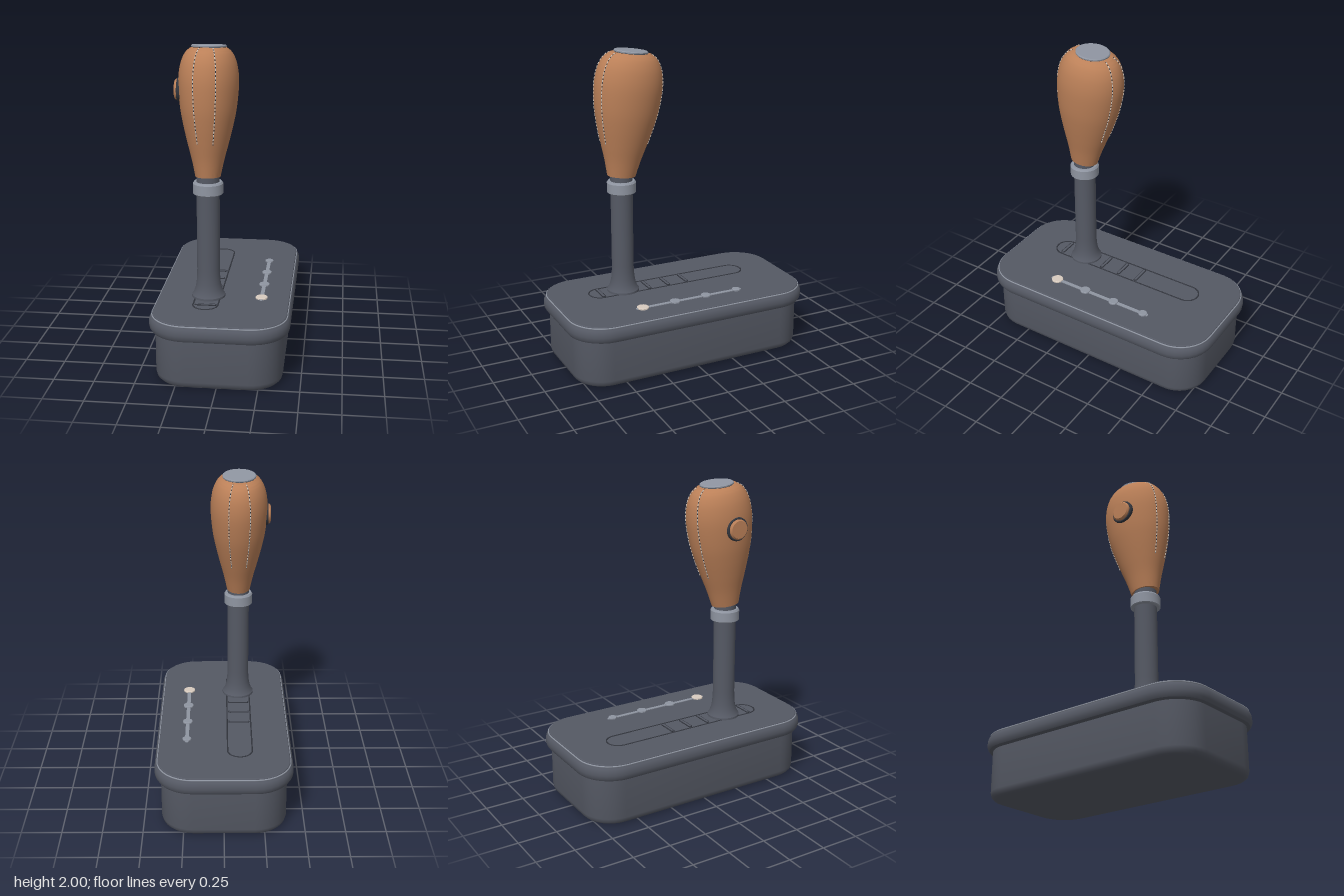
import * as THREE from 'three';
import { toCreasedNormals, mergeGeometries } from 'three/addons/utils/BufferGeometryUtils.js';

const mat = (name, color) => {
  const m = new THREE.MeshStandardMaterial({ color });
  m.name = name;
  return m;
};

// Outline of a rounded rectangle as [x, z] pairs
function roundedOutline(hx, hz, r, seg = 8) {
  const pts = [];
  const corners = [[1, 1], [-1, 1], [-1, -1], [1, -1]];
  corners.forEach(([sx, sz], q) => {
    for (let i = 0; i <= seg; i++) {
      const a = (q + i / seg) * Math.PI / 2;
      pts.push([sx * (hx - r) + r * Math.cos(a), sz * (hz - r) + r * Math.sin(a)]);
    }
  });
  return pts;
}

// Closed solid: rounded rectangles stacked along a profile of [inset, y]
function loft(hx, hz, r, profile) {
  const rings = profile.map(([d, y]) =>
    roundedOutline(hx - d, hz - d, r - d).map(([x, z]) => [x, y, z]));
  const n = rings[0].length;
  rings.unshift(rings[0].map(p => [0, p[1], 0]));
  rings.push(rings[rings.length - 1].map(p => [0, p[1], 0]));
  const pos = [];
  for (let i = 0; i < rings.length - 1; i++) {
    for (let j = 0; j < n; j++) {
      const k = (j + 1) % n;
      const a = rings[i][j], b = rings[i][k], c = rings[i + 1][j], d = rings[i + 1][k];
      if (i < rings.length - 2) pos.push(...a, ...c, ...d);
      if (i > 0) pos.push(...a, ...d, ...b);
      if (i === 0) pos.splice(-9, 9, ...a, ...c, ...d);
    }
  }
  const g = new THREE.BufferGeometry();
  g.setAttribute('position', new THREE.Float32BufferAttribute(pos, 3));
  return toCreasedNormals(g, 0.6);
}

// Turned part from [radius, y] points, with sharp edges kept
function turned(points, sides = 40) {
  const g = new THREE.LatheGeometry(points.map(p => new THREE.Vector2(p[0], p[1])), sides);
  return toCreasedNormals(g, 0.6);
}

// Thin bead following a rounded rectangle
function bead(hx, hz, r, radius) {
  const path = new THREE.CurvePath();
  const pts = roundedOutline(hx, hz, r).map(([x, z]) => new THREE.Vector3(x, 0, z));
  pts.forEach((p, i) => {
    const q = pts[(i + 1) % pts.length];
    if (p.distanceTo(q) > 1e-5) path.add(new THREE.LineCurve3(p, q));
  });
  return new THREE.TubeGeometry(path, 240, radius, 6, true);
}

export function createModel() {
  const charcoal = mat('charcoal', 0x555964);
  const dark = mat('dark line', 0x34373f);
  const silver = mat('silver', 0x8f95a1);
  const leather = mat('tan leather', 0xbb8058);
  const cream = mat('cream', 0xd8cbbf);

  const model = new THREE.Group();
  const add = (parent, name, geometry, material, x = 0, y = 0, z = 0) => {
    const m = new THREE.Mesh(geometry, material);
    m.name = name;
    m.position.set(x, y, z);
    parent.add(m);
    return m;
  };

  // Housing and overhanging lid
  add(model, 'housing', loft(0.39, 0.79, 0.2,
    [[0.04, 0], [0.02, 0.006], [0.006, 0.02], [0, 0.045], [0, 0.32]]), charcoal);
  add(model, 'lid', loft(0.43, 0.825, 0.24,
    [[0.035, 0.31], [0.014, 0.316], [0.003, 0.333], [0, 0.355], [0.002, 0.378],
      [0.01, 0.396], [0.018, 0.404], [0.022, 0.416], [0.026, 0.419]]), charcoal);
  add(model, 'lidTrim', bead(0.411, 0.806, 0.221, 0.005), silver, 0, 0.408, 0);

  // Shift slot with its gate notches
  const lx = -0.1, lz = 0.32, top = 0.419;
  add(model, 'slotRim', bead(0.077, 0.556, 0.076, 0.005), dark, lx, top, 0);
  for (const z of [-0.115, 0.02, 0.155, 0.48]) {
    add(model, 'gateNotch', loft(0.065, 0.009, 0.0085, [[0, top - 0.005], [0, top + 0.006]]), charcoal, lx, 0, z);
    add(model, 'gateNotchRim', bead(0.065, 0.009, 0.0085, 0.004), dark, lx, top + 0.003, z);
  }

  // Position indicator: a rail with four dots, the selected one lit
  add(model, 'indicatorRail', loft(0.012, 0.378, 0.0115, [[0, top - 0.005], [0, top + 0.004]]), silver, 0.235);
  [[-0.34, 0.028], [-0.115, 0.032], [0.105, 0.034], [0.33, 0.038]].forEach(([z, r], i) => {
    add(model, 'indicatorDot', turned([[0, 0], [r, 0], [r, 0.009], [r - 0.004, 0.012], [0, 0.012]], 24),
      i === 3 ? cream : silver, 0.235, top - 0.001, z);
  });

  // Shaft with flared foot, and collar
  add(model, 'shaft', turned([[0, 0.41], [0.105, 0.41], [0.104, 0.432], [0.094, 0.445], [0.083, 0.475],
    [0.076, 0.51], [0.072, 0.56], [0.071, 0.6], [0.071, 1.21], [0, 1.21]]), charcoal, lx, 0, lz);
  add(model, 'collar', turned([[0, 1.088], [0.088, 1.088], [0.093, 1.093], [0.093, 1.155],
    [0.085, 1.166], [0, 1.166]]), silver, lx, 0, lz);

  // Leaning leather grip, oval in section
  const grip = new THREE.Group();
  grip.name = 'grip';
  grip.position.set(lx, 1.197, lz);
  grip.rotation.x = -0.1;
  model.add(grip);
  const depth = 1.2;
  const side = new THREE.SplineCurve([[0.077, 0], [0.098, 0.1], [0.125, 0.205], [0.15, 0.31], [0.169, 0.41],
    [0.18, 0.52], [0.181, 0.6], [0.172, 0.67], [0.156, 0.72], [0.135, 0.755], [0.108, 0.777]]
    .map(p => new THREE.Vector2(...p)));
  const outline = side.getPoints(44).map(p => [p.x, p.y]);
  const knob = turned([[0, 0], ...outline, [0, 0.78]], 48);
  knob.scale(1, 1, depth);
  add(grip, 'gripBody', knob, leather);

  // Two stitched seams on the front and two on the back
  for (const sx of [-1, 1]) for (const sz of [-1, 1]) {
    const line = outline.filter(p => p[1] > 0.2)
      .map(([r, y]) => new THREE.Vector3(sx * 0.37 * r, y, sz * 0.929 * r * depth));
    const curve = new THREE.CatmullRomCurve3(line);
    add(grip, 'seam', new THREE.TubeGeometry(curve, 60, 0.003, 5), dark);
    const stitches = [];
    for (let i = 0; i < 26; i++) {
      const t = (i + 0.5) / 26;
      const g = new THREE.CylinderGeometry(0.0035, 0.0035, 0.014, 6);
      g.applyQuaternion(new THREE.Quaternion().setFromUnitVectors(
        new THREE.Vector3(0, 1, 0), curve.getTangentAt(t)));
      const p = curve.getPointAt(t);
      g.translate(p.x, p.y, p.z + sz * 0.001);
      stitches.push(g);
    }
    add(grip, 'stitches', mergeGeometries(stitches), cream);
  }

  // Top cap
  add(grip, 'capSeat', turned([[0, 0.765], [0.103, 0.765], [0.103, 0.783], [0, 0.783]]), dark);
  add(grip, 'cap', turned([[0, 0.78], [0.106, 0.78], [0.107, 0.788], [0.102, 0.793], [0, 0.793]]), silver);

  // Side button, facing the right
  const button = new THREE.Group();
  button.name = 'button';
  button.position.set(-0.15, 0.525, 0.012);
  button.rotation.z = Math.PI / 2;
  grip.add(button);
  add(button, 'buttonRing', turned([[0, 0], [0.075, 0], [0.075, 0.03], [0.07, 0.036], [0, 0.036]], 32), dark);
  add(button, 'buttonFace', turned([[0, 0.02], [0.063, 0.02], [0.063, 0.044], [0.055, 0.052], [0, 0.053]], 32), leather);

  return model;
}
